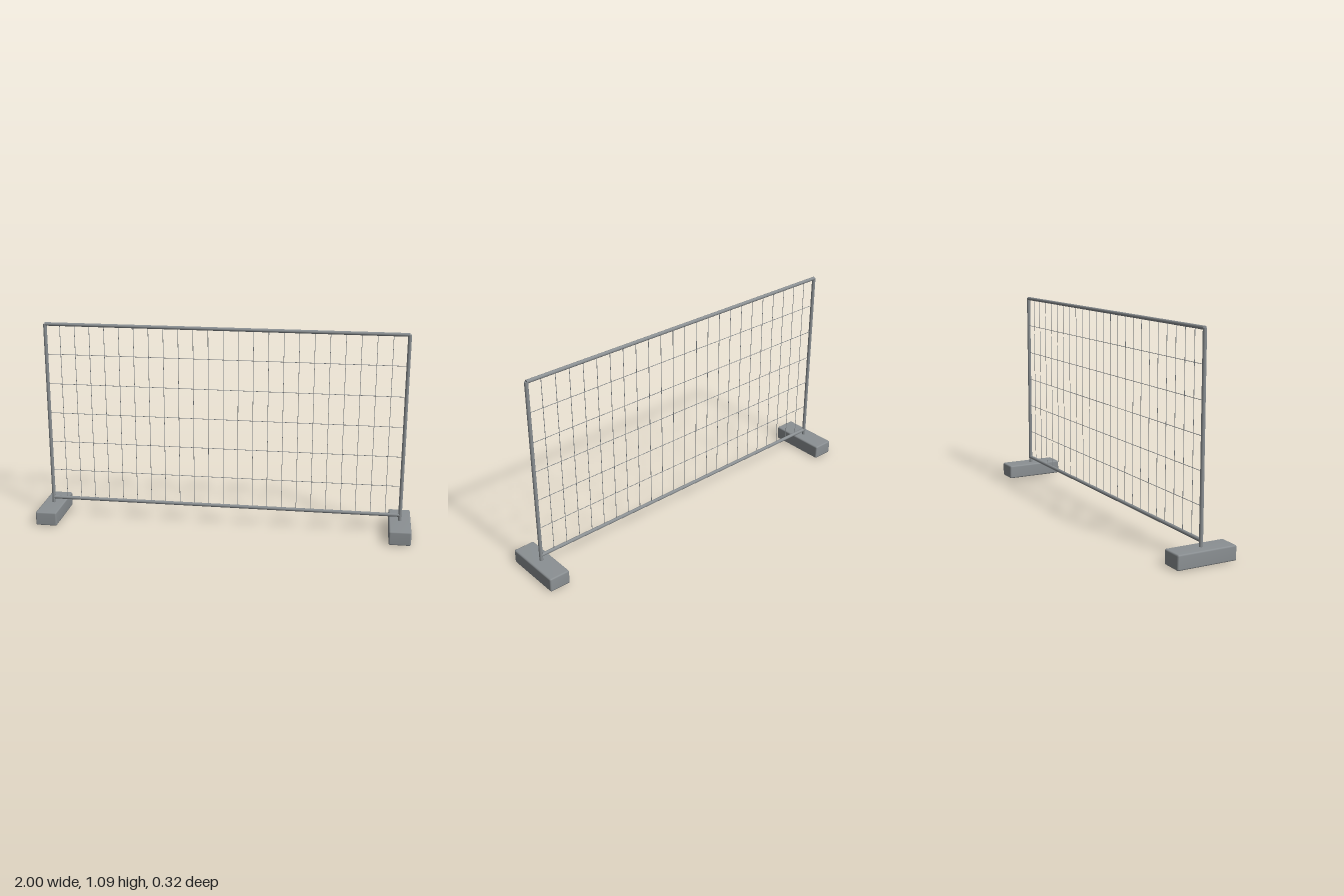
import * as THREE from 'three';
import { mergeVertices } from 'three/addons/utils/BufferGeometryUtils.js';
import { RoundedBoxGeometry } from 'three/addons/geometries/RoundedBoxGeometry.js';

const HALF = 0.9425;            // post centre from the middle
const LOW = 0.106, HIGH = 1.0755; // rail heights
const PIPE = 0.0095, WIRE = 0.0015;

export function createModel() {
  const group = new THREE.Group();
  const steel = new THREE.MeshStandardMaterial({ name: 'grey steel', color: 0x8b9093 });

  const add = (name, geometry, x, y, parent = group) => {
    const mesh = new THREE.Mesh(geometry, steel);
    mesh.name = name;
    mesh.position.set(x, y, 0);
    parent.add(mesh);
    return mesh;
  };
  const upright = (r, length, sides) => new THREE.CylinderGeometry(r, r, length, sides);
  const level = (r, length, sides) => upright(r, length, sides).rotateZ(Math.PI / 2);

  // Foot block with softly shaded bevels
  let block = new RoundedBoxGeometry(0.115, 0.076, 0.32, 1, 0.008);
  block.deleteAttribute('normal');
  block.deleteAttribute('uv');
  block = mergeVertices(block, 1e-5);
  block.computeVertexNormals();

  // Posts and feet
  const postBase = 0.04;
  for (const [side, sign] of [['left', 1], ['right', -1]]) {
    add(side + 'Foot', block, sign * HALF, 0.038);
    add(side + 'Post', upright(PIPE, HIGH - postBase, 12), sign * HALF, (HIGH + postBase) / 2);
  }

  // Rails
  add('topRail', level(PIPE, 2 * HALF, 12), 0, HIGH);
  add('bottomRail', level(PIPE, 2 * HALF, 12), 0, LOW);

  // Wire mesh infill
  const mesh = new THREE.Group();
  mesh.name = 'wireMesh';
  group.add(mesh);
  const columns = 24, rows = 6;
  const vertical = upright(WIRE, HIGH - LOW, 6);
  const horizontal = level(WIRE, 2 * HALF, 6);
  for (let i = 1; i < columns; i++) {
    add('verticalWire', vertical, -HALF + (2 * HALF * i) / columns, (HIGH + LOW) / 2, mesh);
  }
  for (let i = 1; i < rows; i++) {
    add('horizontalWire', horizontal, 0, LOW + ((HIGH - LOW) * i) / rows, mesh);
  }
  return group;
}
